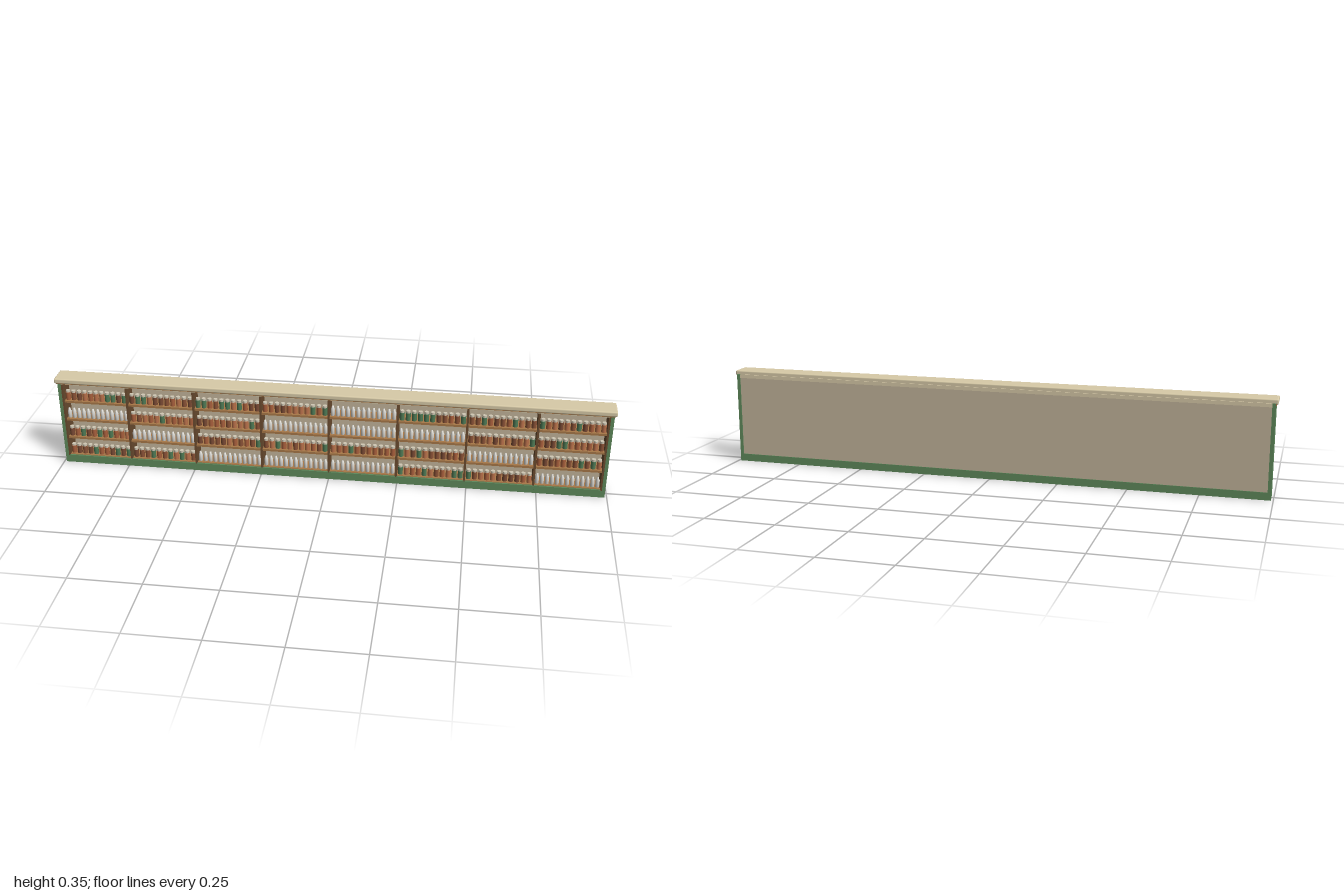
import * as THREE from 'three';
import { RoundedBoxGeometry } from 'three/addons/geometries/RoundedBoxGeometry.js';

const mat = (color) => new THREE.MeshStandardMaterial({ color });
const green = mat(0x5f8a5c), cream = mat(0xd8cba8), backing = mat(0xc2b49a);
const wood = mat(0xa87848), darkWood = mat(0x6b4c30), white = mat(0xe2e0da), lidMat = mat(0xd0c8b4);
const jarMats = [0xa85f3c, 0x8a5236, 0x4f7a55, 0xb8704a, 0x7a4a34].map(mat);

const BAYS = 8, PITCH = 0.246, WIDTH = BAYS * PITCH;
const SHELF_TOPS = [0.255, 0.181, 0.107, 0.033];
// Stock per shelf, top to bottom: j = coloured jars, w = white bottles
const STOCK = ['jjjjwjjj', 'wjjwwwjj', 'jwjjjjwj', 'jjwwwjjw'];

// Box given by its limits on each axis
function block(parent, name, material, [x0, x1], [y0, y1], [z0, z1], round = 0) {
  const w = x1 - x0, h = y1 - y0, d = z1 - z0;
  const geo = round ? new RoundedBoxGeometry(w, h, d, 3, round) : new THREE.BoxGeometry(w, h, d);
  const mesh = new THREE.Mesh(geo, material);
  mesh.position.set((x0 + x1) / 2, (y0 + y1) / 2, (z0 + z1) / 2);
  mesh.name = name;
  parent.add(mesh);
}

// Seeded random numbers for the colour mix
function seeded(seed) {
  return () => (seed = (seed * 16807) % 2147483647) / 2147483647;
}

const jarGeo = new THREE.CylinderGeometry(0.0088, 0.0088, 0.029, 12);
const lidGeo = new THREE.CylinderGeometry(0.0075, 0.0075, 0.008, 12);
const bottleGeo = new THREE.LatheGeometry(
  [[0, 0], [0.0072, 0], [0.0072, 0.026], [0.0045, 0.031], [0.0035, 0.038], [0, 0.038]]
    .map(([r, y]) => new THREE.Vector2(r, y)), 10);

function makeJar(material) {
  const jar = new THREE.Group();
  jar.name = 'jar';
  const body = new THREE.Mesh(jarGeo, material);
  body.name = 'jarBody';
  body.position.y = 0.0145;
  const lid = new THREE.Mesh(lidGeo, lidMat);
  lid.name = 'jarLid';
  lid.position.y = 0.033;
  jar.add(body, lid);
  return jar;
}

function makeBottle() {
  const bottle = new THREE.Mesh(bottleGeo, white);
  bottle.name = 'bottle';
  return bottle;
}

export function createModel() {
  const model = new THREE.Group();
  model.name = 'shelfUnit';
  const half = WIDTH / 2;

  // Carcass: base, end panels and recessed back
  block(model, 'base', green, [-0.99, 0.99], [0, 0.027], [-0.041, 0.029]);
  for (const s of [-1, 1]) {
    const a = s * 0.98, b = s * 0.992;
    block(model, 'endPanel', green, [Math.min(a, b), Math.max(a, b)], [0, 0.335], [-0.041, 0.029]);
  }
  block(model, 'backPanel', backing, [-0.98, 0.98], [0.027, 0.335], [-0.038, -0.033]);

  // Rounded top with a moulding beneath it
  block(model, 'topRail', cream, [-0.98, 0.98], [0.322, 0.335], [-0.041, 0.029]);
  block(model, 'topMoulding', wood, [-0.994, 0.994], [0.327, 0.333], [-0.037, 0.036]);
  block(model, 'countertop', cream, [-1, 1], [0.33, 0.349], [-0.036, 0.041], 0.005);

  // Upright dividers between the bays
  for (let i = 0; i <= BAYS; i++) {
    const x = THREE.MathUtils.clamp(-half + i * PITCH, -0.977, 0.977);
    block(model, 'divider', darkWood, [x - 0.004, x + 0.004], [0.027, 0.325], [-0.034, 0.028]);
  }

  // Shelves, kick panels and stock for every bay
  const random = seeded(17);
  for (let bay = 0; bay < BAYS; bay++) {
    const x0 = Math.max(-half + bay * PITCH, -0.977) + 0.004;
    const x1 = Math.min(-half + (bay + 1) * PITCH, 0.977) - 0.004;
    block(model, 'kickPanel', green, [x0, x1], [0.002, 0.02], [0.028, 0.031]);
    block(model, 'kickRail', green, [x0 - 0.002, x1 + 0.002], [0.02, 0.031], [0.026, 0.032]);

    SHELF_TOPS.forEach((y, row) => {
      block(model, 'shelf', wood, [x0, x1], [y - 0.008, y], [-0.034, 0.026]);
      const jars = STOCK[row][bay] === 'j';
      const count = jars ? 11 : 13;
      const step = (x1 - x0) / count;
      for (let i = 0; i < count; i++) {
        const item = jars ? makeJar(jarMats[Math.floor(random() * jarMats.length)]) : makeBottle();
        item.position.set(x0 + (i + 0.5) * step, y, 0.01);
        model.add(item);
      }
    });
  }
  return model;
}
